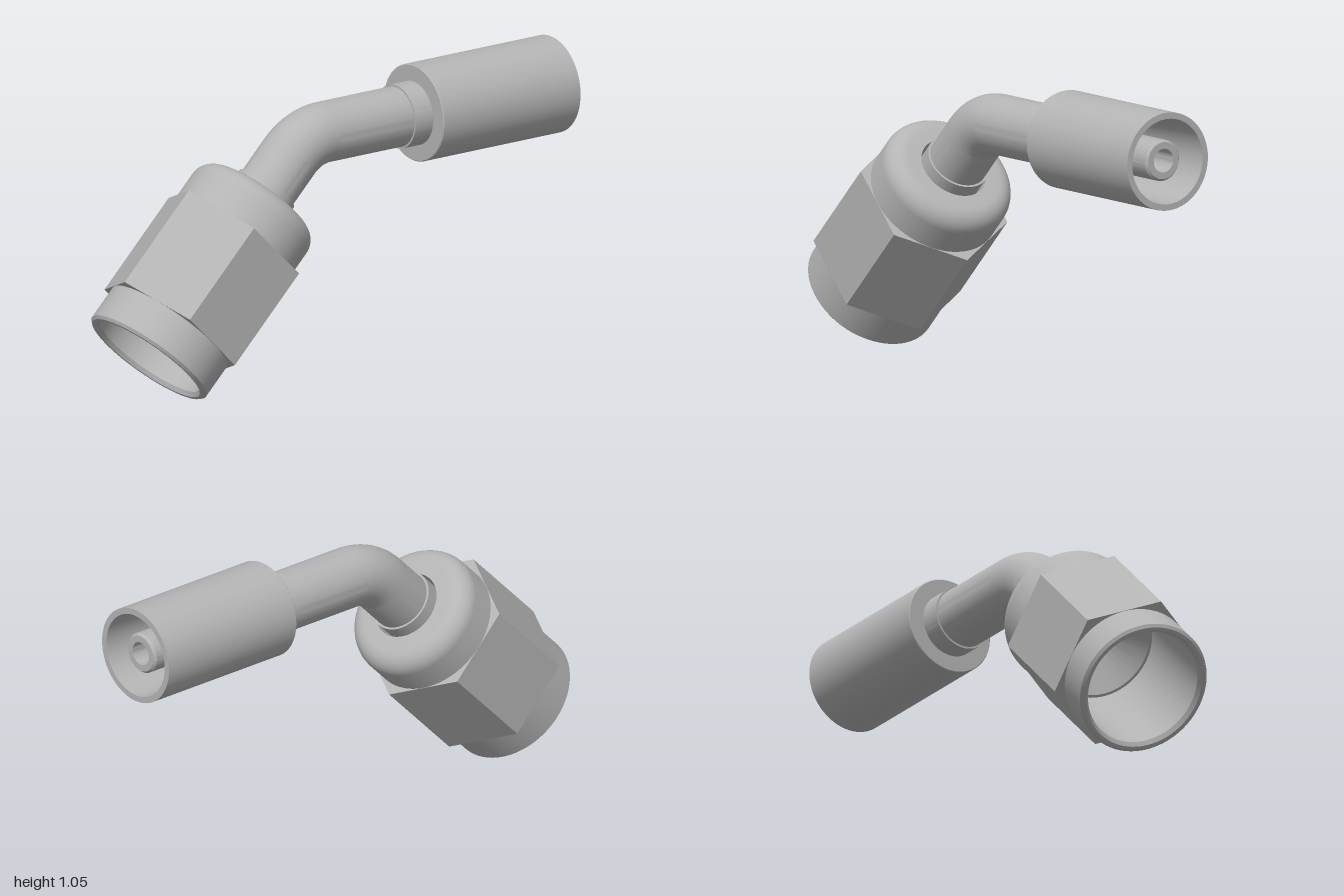
import * as THREE from 'three';
import { toCreasedNormals } from 'three/addons/utils/BufferGeometryUtils.js';

const steel = new THREE.MeshStandardMaterial({ color: 0xb4b4b4 });
steel.name = 'steel';

function addPart(parent, name, geometry) {
  const mesh = new THREE.Mesh(geometry, steel);
  mesh.name = name;
  parent.add(mesh);
  return mesh;
}

// Turned part: [radius, height] profile, outside going up, inside going down
function turned(profile) {
  const points = profile.map(([r, h]) => new THREE.Vector2(r, h));
  return toCreasedNormals(new THREE.LatheGeometry(points, 72), 0.5);
}

// Rounded shoulder as profile points
function fillet(r, h, radius, steps = 8) {
  return Array.from({ length: steps + 1 }, (_, i) => {
    const a = (i / steps) * Math.PI / 2;
    return [r - radius + radius * Math.cos(a), h - radius + radius * Math.sin(a)];
  });
}

// Hexagonal prism with a round hole, flats facing +z and -z
function hexGeometry(acrossFlats, hole, height) {
  const corner = acrossFlats / Math.sqrt(3);
  const shape = new THREE.Shape(Array.from({ length: 6 }, (_, i) =>
    new THREE.Vector2(corner * Math.cos(i * Math.PI / 3), corner * Math.sin(i * Math.PI / 3))));
  const opening = new THREE.Path();
  opening.absarc(0, 0, hole, 0, Math.PI * 2, true);
  shape.holes.push(opening);
  return new THREE.ExtrudeGeometry(shape, { depth: height, bevelEnabled: false, curveSegments: 36 })
    .rotateX(-Math.PI / 2);
}

export function createModel() {
  const model = new THREE.Group();
  model.name = 'angledHoseFitting';

  // Swivel end, tilted by 45 degrees
  const swivel = new THREE.Group();
  swivel.name = 'swivelEnd';
  swivel.position.set(-0.825, 0.178, 0);
  swivel.rotation.z = -Math.PI / 4;
  model.add(swivel);

  addPart(swivel, 'nutBody', turned([
    [0.227, 0], [0.239, 0], [0.249, 0.01],
    ...fillet(0.249, 0.725, 0.07),
    [0.127, 0.725], [0.127, 0.62], [0.215, 0.5], [0.215, 0.015], [0.227, 0],
  ]));
  addPart(swivel, 'nutHexagon', hexGeometry(0.5, 0.24, 0.411)).position.y = 0.143;

  // Flared tube end with its conical seat inside the nut
  addPart(swivel, 'flaredTube', turned([
    [0.07, 0.53], [0.19, 0.38], [0.2, 0.38], [0.2, 0.49], [0.118, 0.6],
    [0.118, 0.765], [0.11, 0.765], [0.11, 0.909],
    [0.07, 0.909], [0.07, 0.53],
  ]));

  // Bend between the two straight tubes
  const bend = new THREE.TorusGeometry(0.22, 0.11, 72, 24, Math.PI / 4).rotateZ(Math.PI / 2);
  addPart(model, 'tubeBend', bend).position.set(-0.027, 0.665, 0);

  // Hose end along x
  const hoseEnd = new THREE.Group();
  hoseEnd.name = 'hoseEnd';
  hoseEnd.position.y = 0.885;
  hoseEnd.rotation.z = -Math.PI / 2;
  model.add(hoseEnd);

  addPart(hoseEnd, 'tubeAndNipple', turned([
    [0.11, -0.027], [0.11, 0.3], [0.117, 0.3], [0.117, 0.4], [0.075, 0.4],
    [0.075, 0.965], [0.067, 0.975], [0.043, 0.975], [0.043, -0.027],
  ]));
  addPart(hoseEnd, 'crimpSleeve', turned([
    [0.07, 0.38], [0.175, 0.38], [0.178, 0.383], [0.178, 1],
    [0.155, 1], [0.132, 0.46], [0.07, 0.46], [0.07, 0.38],
  ]));

  return model;
}
